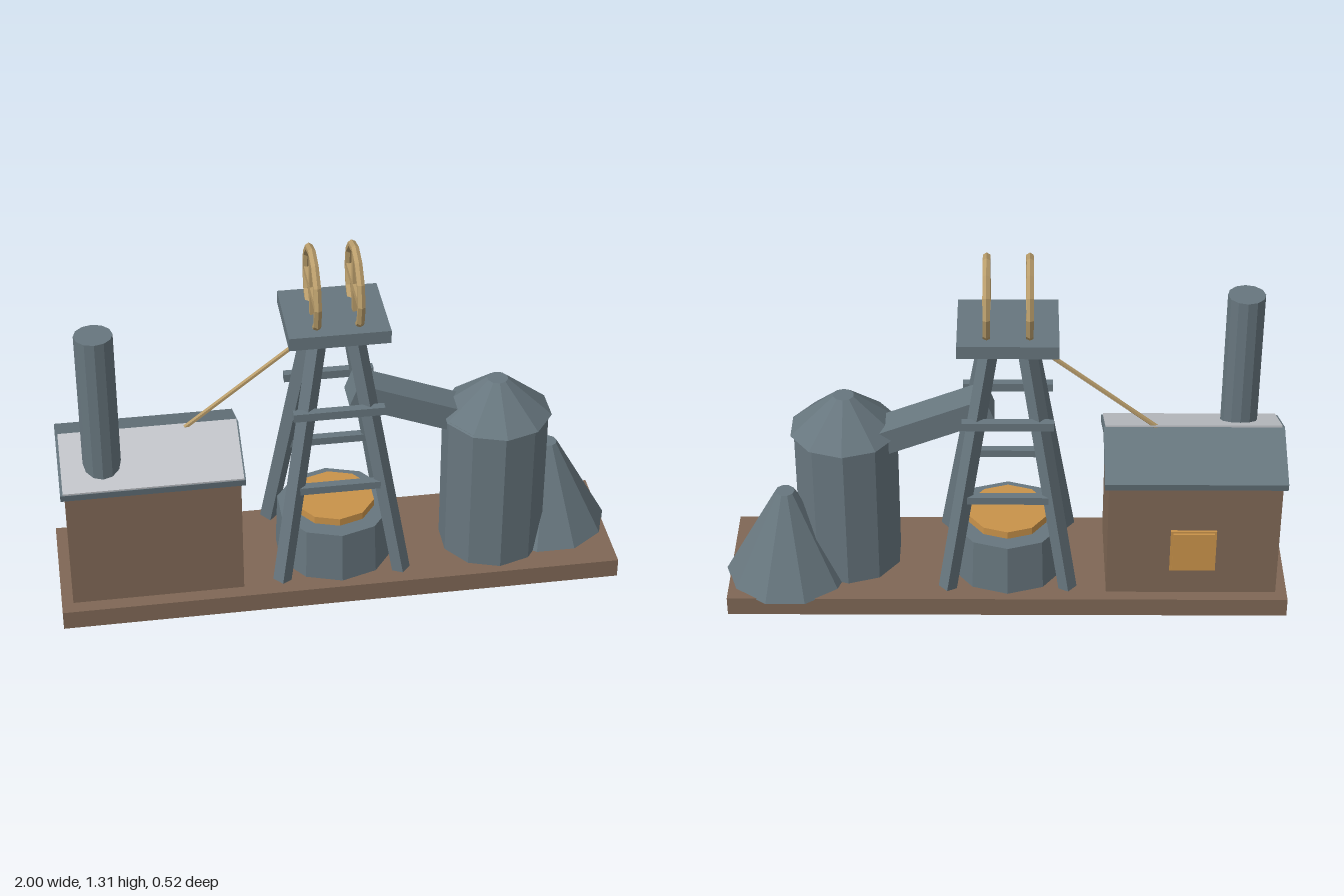
import * as THREE from 'three';

const mat = (name, color) => {
  const m = new THREE.MeshStandardMaterial({ color, flatShading: true });
  m.name = name;
  return m;
};

export function createModel() {
  const slate = mat('slate', 0x67767e);
  const brown = mat('brown', 0x7f6755);
  const tan = mat('tan', 0xb99d6b);
  const orange = mat('orange', 0xc8924a);
  const pale = mat('paleSheet', 0xc2c5ca);

  const root = new THREE.Group();
  root.name = 'mineHeadframe';

  const add = (name, geo, material, x = 0, y = 0, z = 0, parent = root) => {
    const m = new THREE.Mesh(geo, material);
    m.name = name;
    m.position.set(x, y, z);
    parent.add(m);
    return m;
  };
  // Box given by its min and max corners
  const box = (name, material, [x0, y0, z0], [x1, y1, z1], parent) =>
    add(name, new THREE.BoxGeometry(x1 - x0, y1 - y0, z1 - z0), material,
      (x0 + x1) / 2, (y0 + y1) / 2, (z0 + z1) / 2, parent);
  // Upright cylinder or cone between two heights
  const drum = (name, material, x, z, y0, y1, rBottom, rTop, sides = 10) =>
    add(name, new THREE.CylinderGeometry(rTop, rBottom, y1 - y0, sides), material, x, (y0 + y1) / 2, z);
  // Prism with a (z, y) outline, running along x
  const prism = (name, material, points, x0, x1) => {
    const shape = new THREE.Shape(points.map(([z, y]) => new THREE.Vector2(-z, y)));
    const geo = new THREE.ExtrudeGeometry(shape, { depth: x1 - x0, bevelEnabled: false });
    geo.rotateY(Math.PI / 2);
    return add(name, geo, material, x0, 0, 0);
  };
  // Place a mesh so that its local z runs from a to b
  const span = (mesh, a, b) => {
    mesh.position.copy(a).add(b).multiplyScalar(0.5);
    mesh.lookAt(b);
  };

  box('base', brown, [-1, 0, -0.23], [0.98, 0.07, 0.26]);

  // Engine house
  const hz = 0.012;
  prism('houseWalls', brown, [
    [hz - 0.197, 0.07], [hz + 0.197, 0.07], [hz + 0.197, 0.54], [hz, 0.625], [hz - 0.197, 0.54],
  ], -0.96, -0.36);
  prism('houseRoof', slate, [
    [hz - 0.217, 0.548], [hz, 0.643], [hz + 0.217, 0.548],
    [hz + 0.212, 0.522], [hz, 0.615], [hz - 0.212, 0.522],
  ], -0.975, -0.345);
  prism('roofSheet', pale, [
    [hz - 0.004, 0.644], [hz - 0.004, 0.651], [hz + 0.217, 0.555], [hz + 0.216, 0.548],
  ], -0.966, -0.351);
  drum('chimney', slate, -0.825, 0.123, 0.55, 1.11, 0.065, 0.065, 12);
  box('hatch', orange, [-0.74, 0.174, -0.196], [-0.58, 0.343, -0.187]);
  box('hatchFrame', orange, [-0.732, 0.182, -0.203], [-0.588, 0.335, -0.194]);

  // Shaft collar with its cover
  const cx = -0.012, cz = 0.014;
  drum('shaftCollar', slate, cx, cz, 0.07, 0.262, 0.213, 0.205);
  drum('shaftCover', orange, cx, cz, 0.26, 0.29, 0.145, 0.145);

  // Headframe
  const tower = new THREE.Group();
  tower.name = 'headframe';
  tower.position.set(cx, 0, cz);
  root.add(tower);
  for (const sx of [-1, 1]) for (const sz of [-1, 1]) {
    const foot = new THREE.Vector3(sx * 0.212, 0.085, sz * 0.192);
    const head = new THREE.Vector3(sx * 0.058, 1.03, sz * 0.056);
    const leg = add('leg', new THREE.BoxGeometry(0.046, 0.046, foot.distanceTo(head)), slate);
    span(leg, foot, head);
    tower.add(leg);
  }
  for (const sz of [-1, 1]) {
    add('upperBrace', new THREE.BoxGeometry(0.315, 0.03, 0.03), slate, 0, 0.73, sz * 0.125, tower);
    add('lowerBrace', new THREE.BoxGeometry(0.3, 0.028, 0.03), slate, 0, 0.435, sz * 0.145, tower);
  }
  box('platform', slate, [-0.172, 1.015, -0.155], [0.172, 1.062, 0.155], tower);

  // Winding wheels with crossed spokes
  for (const x of [-0.073, 0.072]) {
    const wheel = new THREE.Group();
    wheel.name = 'windingWheel';
    wheel.position.set(x, 1.157, 0.002);
    wheel.rotation.y = Math.PI / 2;
    tower.add(wheel);
    add('rim', new THREE.TorusGeometry(0.139, 0.0145, 6, 12), tan, 0, 0, 0, wheel);
    add('spoke', new THREE.BoxGeometry(0.27, 0.026, 0.02), tan, 0, 0, 0, wheel);
    add('spoke', new THREE.BoxGeometry(0.026, 0.27, 0.019), tan, 0, 0, 0, wheel);
  }

  // Cable from the house roof to the tower
  const c0 = new THREE.Vector3(-0.53, 0.64, 0.016);
  const c1 = new THREE.Vector3(-0.094, 0.98, 0.016);
  const cable = new THREE.CylinderGeometry(0.009, 0.009, c0.distanceTo(c1), 6);
  cable.rotateX(Math.PI / 2);
  span(add('cable', cable, tan), c0, c1);

  // Chute into the silo
  const chute = add('chute', new THREE.BoxGeometry(0.4, 0.09, 0.12), slate, 0.237, 0.677, 0.014);
  chute.rotation.z = -0.37;

  // Silo and spoil heap
  drum('silo', slate, 0.555, 0.044, 0.07, 0.625, 0.186, 0.186);
  drum('siloRoof', slate, 0.558, 0.042, 0.62, 0.753, 0.195, 0.037);
  drum('spoilHeap', slate, 0.772, -0.042, 0.066, 0.405, 0.225, 0.034).rotation.y = Math.PI / 10;

  return root;
}
